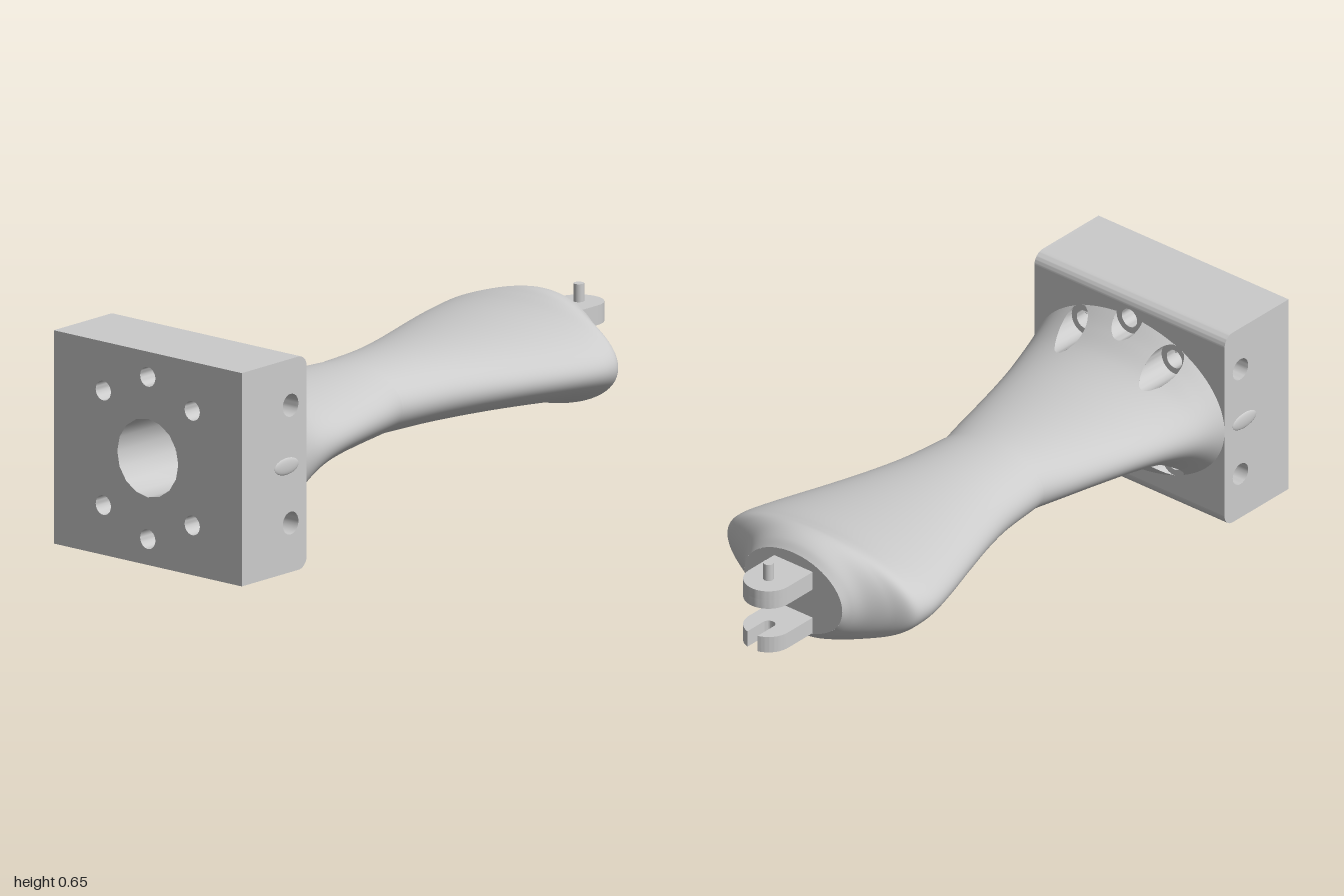
import * as THREE from 'three';
import { toCreasedNormals } from 'three/addons/utils/BufferGeometryUtils.js';

const MID = 0.327;                       // height of the long axis
const W = 0.37, H = 0.652, BACK = 0.71, FRONT = 1, ROUND = 0.037;
const BOLT_R = 0.03, SCOOP_R = 0.05, CROSS_R = 0.035, CROSS_Z = 0.782;
const bolts = [[0, 0.248], [0, -0.248], [0.175, 0.175], [-0.175, 0.175], [0.175, -0.175], [-0.175, -0.175]]
  .map(([x, y]) => [x, y + MID]);
const crossY = [0.15, 0.51];

const material = new THREE.MeshStandardMaterial({ color: 0xcccccc, side: THREE.DoubleSide });

function add(group, name, geometry) {
  const mesh = new THREE.Mesh(geometry, material);
  mesh.name = name;
  group.add(mesh);
  return mesh;
}

function circlePath(x, y, r, n = 24) {
  const pts = [];
  for (let i = 0; i < n; i++) {
    const a = (i / n) * Math.PI * 2;
    pts.push(new THREE.Vector2(x + r * Math.cos(a), y + r * Math.sin(a)));
  }
  return new THREE.Path(pts);
}

// Keep only the triangles for which test(centre, normal) is true
function keepTriangles(geometry, test) {
  const p = (geometry.index ? geometry.toNonIndexed() : geometry).attributes.position;
  const out = [], c = new THREE.Vector3(), n = new THREE.Vector3();
  const tri = new THREE.Triangle();
  for (let i = 0; i < p.count; i += 3) {
    tri.setFromAttributeAndIndices(p, i, i + 1, i + 2);
    tri.getMidpoint(c);
    tri.getNormal(n);
    if (test(c, n)) for (const v of [tri.a, tri.b, tri.c]) out.push(v.x, v.y, v.z);
  }
  const g = new THREE.BufferGeometry();
  g.setAttribute('position', new THREE.Float32BufferAttribute(out, 3));
  return toCreasedNormals(g, 0.6);
}

const inBolt = (c) => bolts.some(([x, y]) => Math.hypot(c.x - x, c.y - y) < BOLT_R * 0.98);
const inCross = (c) => crossY.some((y) => Math.hypot(c.z - CROSS_Z, c.y - y) < CROSS_R * 0.98);

function plate(y0, y1, z, holes) {
  const s = new THREE.Shape([[-W, y0], [W, y0], [W, y1], [-W, y1]].map((p) => new THREE.Vector2(...p)));
  s.holes.push(...holes);
  return new THREE.ShapeGeometry(s).translate(0, 0, z);
}

function mountBlock() {
  const g = new THREE.Group();
  g.name = 'mountBlock';
  // Side profile with cross holes, extruded across the width
  const s = new THREE.Shape();
  s.moveTo(-FRONT, 0);
  s.lineTo(-BACK - ROUND, 0);
  s.absarc(-BACK - ROUND, ROUND, ROUND, -Math.PI / 2, 0);
  s.lineTo(-BACK, H - ROUND);
  s.absarc(-BACK - ROUND, H - ROUND, ROUND, 0, Math.PI / 2);
  s.lineTo(-FRONT, H);
  s.closePath();
  s.holes = crossY.map((y) => circlePath(-CROSS_Z, y, CROSS_R));
  const shell = new THREE.ExtrudeGeometry(s, { depth: 2 * W, steps: 60, bevelEnabled: false, curveSegments: 8 });
  shell.rotateY(Math.PI / 2).translate(-W, 0, 0);
  add(g, 'blockShell', keepTriangles(shell, (c, n) =>
    !inBolt(c) && !(Math.abs(n.z) > 0.999 && (c.z > FRONT - 0.001 || c.z < BACK + 0.001))));

  // Drilled front and back faces
  const boltHoles = () => bolts.map(([x, y]) => circlePath(x, y, BOLT_R));
  add(g, 'blockFront', plate(0, H, FRONT, [...boltHoles(), circlePath(0, MID, 0.12, 16)]));
  const back = add(g, 'blockBack', plate(ROUND, H - ROUND, -BACK, boltHoles()));
  back.geometry.rotateY(Math.PI);

  // Bolt hole walls, opened where the cross holes meet them
  for (const [x, y] of bolts) {
    const wall = new THREE.CylinderGeometry(BOLT_R, BOLT_R, FRONT - BACK, 24, 30, true);
    wall.scale(-1, 1, 1).rotateX(Math.PI / 2).translate(x, y, (FRONT + BACK) / 2);
    add(g, 'boltHole', keepTriangles(wall, (c) => !inCross(c)));
  }

  // Blind central bore
  const depth = 0.25;
  const bore = new THREE.CylinderGeometry(0.12, 0.12, depth, 16, 1, true, Math.PI / 2);
  bore.scale(-1, 1, 1).rotateX(Math.PI / 2).translate(0, MID, FRONT - depth / 2);
  add(g, 'boreWall', keepTriangles(bore, () => true));
  add(g, 'boreFloor', new THREE.CircleGeometry(0.12, 16).translate(0, MID, FRONT - depth));

  // Slight swellings on the side faces
  for (const side of [-1, 1]) {
    add(g, 'sideSwelling', new THREE.SphereGeometry(1, 20, 14).scale(0.007, 0.026, 0.055)
      .translate(side * (W - 0.001), MID, 0.8));
  }
  return g;
}

// Half width, half height and z along the grip
const gripCurve = new THREE.CatmullRomCurve3([
  [0.37, 0.255, 0.71], [0.357, 0.205, 0.66], [0.342, 0.158, 0.6], [0.318, 0.128, 0.52], [0.29, 0.114, 0.42],
  [0.255, 0.11, 0.29], [0.226, 0.109, 0.18], [0.203, 0.109, 0.1], [0.2, 0.109, 0.085], [0.203, 0.109, 0.06],
  [0.22, 0.11, -0.08], [0.25, 0.111, -0.2], [0.295, 0.114, -0.34], [0.342, 0.121, -0.48], [0.37, 0.13, -0.58],
  [0.376, 0.142, -0.64], [0.362, 0.159, -0.69], [0.3, 0.17, -0.725], [0.24, 0.167, -0.76], [0.208, 0.153, -0.79],
  [0.19, 0.13, -0.812],
].map((p) => new THREE.Vector3(...p)), false, 'catmullrom', 0.5);

// z at which the flare's surface passes over (x, y)
function flareZ(x, y) {
  const inside = (t) => {
    const p = gripCurve.getPoint(t);
    return (x / p.x) ** 2 + ((y - MID) / p.y) ** 2 < 1;
  };
  let lo = 0, hi = 0.3;
  if (!inside(lo)) return BACK;
  for (let i = 0; i < 22; i++) {
    const m = (lo + hi) / 2;
    if (inside(m)) lo = m; else hi = m;
  }
  return gripCurve.getPoint(lo).z;
}

function grip() {
  const g = new THREE.Group();
  g.name = 'grip';
  const rows = 160, n = 144, pos = [], idx = [], cut = [];
  for (let i = 0; i <= rows; i++) {
    const p = gripCurve.getPoint(i / rows);
    for (let j = 0; j < n; j++) {
      const a = (j / n) * Math.PI * 2;
      let x = p.x * Math.cos(a), y = MID + p.y * Math.sin(a), z = p.z;
      // Points inside a scoop move out to its rim
      const hit = z > 0.5 && bolts.find(([bx, by]) => Math.hypot(x - bx, y - by) < SCOOP_R);
      if (hit) {
        const k = SCOOP_R / Math.max(1e-5, Math.hypot(x - hit[0], y - hit[1]));
        x = hit[0] + (x - hit[0]) * k;
        y = hit[1] + (y - hit[1]) * k;
        z = flareZ(x, y);
      }
      cut.push(!!hit);
      pos.push(x, y, z);
    }
  }
  const face = (...f) => { if (!f.every((v) => cut[v])) idx.push(...f); };
  for (let i = 0; i < rows; i++) for (let j = 0; j < n; j++) {
    const a = i * n + j, b = i * n + (j + 1) % n;
    face(a, a + n, b);
    face(b, a + n, b + n);
  }
  const body = new THREE.BufferGeometry();
  body.setAttribute('position', new THREE.Float32BufferAttribute(pos, 3));
  body.setIndex(idx);
  body.computeVertexNormals();
  add(g, 'gripBody', body);
  add(g, 'gripEnd', new THREE.CircleGeometry(1, 72).rotateY(Math.PI).scale(0.19, 0.13, 1).translate(0, MID, -0.812));

  // Scoop walls giving access to the bolt holes
  for (const [bx, by] of bolts) {
    const wall = new THREE.CylinderGeometry(SCOOP_R, SCOOP_R, 1, 40, 1, true);
    wall.scale(-1, 1, 1).rotateX(Math.PI / 2).translate(bx, by, 0);
    const p = wall.attributes.position;
    for (let i = 0; i < p.count; i++) p.setZ(i, p.getZ(i) > 0 ? BACK : flareZ(p.getX(i), p.getY(i)));
    add(g, 'scoopWall', keepTriangles(wall, (c, m) => m.lengthSq() > 0.5));
  }
  return g;
}

function clevis() {
  const g = new THREE.Group();
  g.name = 'clevis';
  const r = 0.075, c = 1 - r, slot = 0.02;
  const tab = (name, y, depth, cutOut) => {
    const s = new THREE.Shape();
    s.moveTo(-r, 0.79);
    s.lineTo(r, 0.79);
    s.lineTo(r, c);
    if (cutOut === 'slot') {
      const a = Math.acos(slot / r);
      s.absarc(0, c, r, 0, a);
      s.lineTo(slot, c);
      s.absarc(0, c, slot, 0, -Math.PI, true);
      s.absarc(0, c, r, Math.PI - a, Math.PI);
    } else s.absarc(0, c, r, 0, Math.PI);
    s.closePath();
    if (cutOut === 'recess') s.holes.push(circlePath(0, c, 0.042));
    const e = new THREE.ExtrudeGeometry(s, { depth, bevelEnabled: false, curveSegments: 16 });
    add(g, name, toCreasedNormals(e.rotateX(-Math.PI / 2).translate(0, y, 0), 0.6));
  };
  tab('upperTab', 0.39, 0.03);
  tab('upperTabRecess', 0.36, 0.03, 'recess');
  tab('lowerTab', 0.21, 0.053, 'slot');
  add(g, 'pin', new THREE.CylinderGeometry(0.016, 0.016, 0.06, 20).translate(0, 0.445, -c));
  return g;
}

export function createModel() {
  const model = new THREE.Group();
  model.name = 'mountedGrip';
  model.add(mountBlock(), grip(), clevis());
  return model;
}
